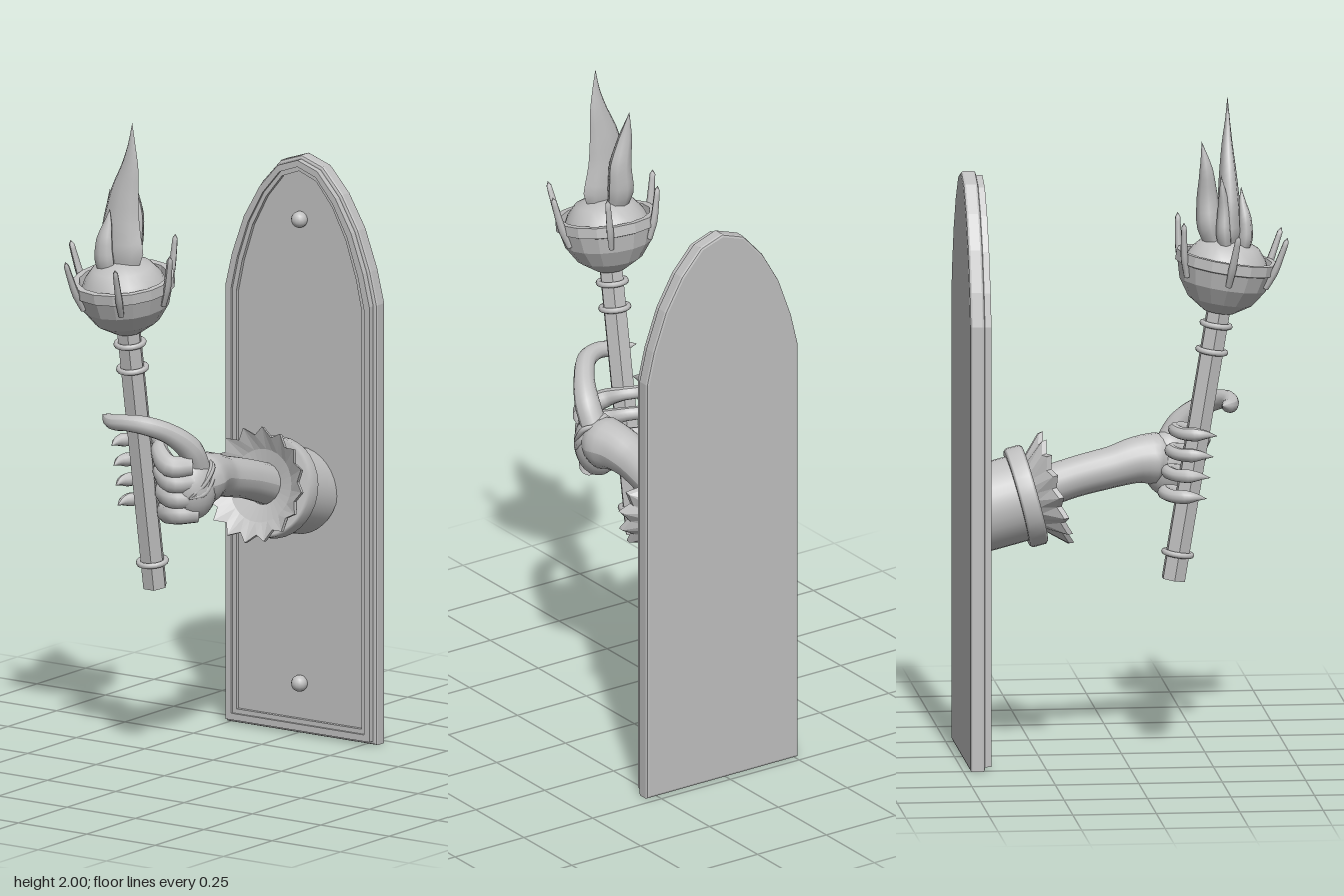
import * as THREE from 'three';

const stone = new THREE.MeshStandardMaterial({ color: 0xc0c0c0, side: THREE.DoubleSide });
stone.name = 'grey';

function add(parent, name, geo, x = 0, y = 0, z = 0) {
  const m = new THREE.Mesh(geo, stone);
  m.name = name;
  m.position.set(x, y, z);
  parent.add(m);
  return m;
}

// Faceted copy of a geometry
function flat(geo) {
  const g = geo.index ? geo.toNonIndexed() : geo;
  g.computeVertexNormals();
  return g;
}

const lathe = (pts, n) => new THREE.LatheGeometry(pts.map(p => new THREE.Vector2(p[0], p[1])), n);

// Tapered tube through points [x, y, z, radius]; depth flattens it along z
function limb(pts, sides = 10, steps = 24, depth = 1) {
  const curve = new THREE.CatmullRomCurve3(pts.map(p => new THREE.Vector3(p[0], p[1], p[2])));
  const geo = new THREE.TubeGeometry(curve, steps, 1, sides);
  const pos = geo.attributes.position, v = new THREE.Vector3();
  for (let i = 0; i <= steps; i++) {
    const c = curve.getPointAt(i / steps);
    const t = curve.getUtoTmapping(i / steps) * (pts.length - 1);
    const k = Math.min(Math.floor(t), pts.length - 2);
    const r = THREE.MathUtils.lerp(pts[k][3], pts[k + 1][3], t - k);
    for (let j = 0; j <= sides; j++) {
      const n = i * (sides + 1) + j;
      v.fromBufferAttribute(pos, n).sub(c).multiplyScalar(r);
      v.z *= depth;
      v.add(c);
      pos.setXYZ(n, v.x, v.y, v.z);
    }
  }
  geo.computeVertexNormals();
  return geo;
}

// Pointed-arch outline, shrunk by d
function archPoints(d) {
  const half = [[0.275, 0], [0.275, 1.35], [0.25, 1.45], [0.205, 1.57], [0.145, 1.67], [0.075, 1.745], [0, 1.77]];
  const kx = (0.275 - d) / 0.275, ky = (1.77 - 2 * d) / 1.77;
  const right = half.map(([x, y]) => new THREE.Vector2(x * kx, d + y * ky));
  const left = right.slice(0, -1).reverse().map(p => new THREE.Vector2(-p.x, p.y));
  return right.concat(left);
}

function archFrame(outer, inner, depth) {
  const s = new THREE.Shape(archPoints(outer));
  s.holes.push(new THREE.Path(archPoints(inner)));
  return new THREE.ExtrudeGeometry(s, { depth, bevelEnabled: false });
}

function buildPlaque() {
  const g = new THREE.Group();
  g.name = 'plaque';
  g.position.x = 0.013;
  add(g, 'backboard', new THREE.ExtrudeGeometry(new THREE.Shape(archPoints(0.008)),
    { depth: 0.029, bevelThickness: 0.008, bevelSize: 0.008, bevelSegments: 2 }), 0, 0, -0.472);
  add(g, 'outerMoulding', archFrame(0.012, 0.032, 0.021), 0, 0, -0.436);
  add(g, 'innerMoulding', archFrame(0.032, 0.046, 0.013), 0, 0, -0.436);
  for (const y of [0.155, 1.575]) add(g, 'rivet', new THREE.SphereGeometry(0.025, 14, 10), 0, y, -0.425);
  return g;
}

function buildCuff() {
  const g = new THREE.Group();
  g.name = 'cuff';
  g.position.set(0.013, 0.783, -0.285);
  g.rotation.x = 1.314;
  add(g, 'sleeve', new THREE.CylinderGeometry(0.13, 0.13, 0.17, 32), 0, -0.075, 0);
  add(g, 'cuffBand', lathe([[0.12, -0.028], [0.146, -0.028], [0.153, -0.02], [0.153, 0.02], [0.146, 0.028], [0, 0.028]], 32));
  // Jagged flared collar
  const n = 32;
  const profile = [[0.115, 0.025], [0.17, 0.085], [0.172, 0.1], [0.11, 0.06], [0.055, 0.045]];
  const geo = lathe(profile, n), pos = geo.attributes.position;
  for (let i = 0; i <= n; i++) {
    const k = i % 2 ? 0.87 : 1.02;
    for (const j of [1, 2]) {
      const v = i * profile.length + j;
      pos.setXYZ(v, pos.getX(v) * k, pos.getY(v) - (i % 2 ? 0.012 : 0), pos.getZ(v) * k);
    }
  }
  add(g, 'collarRuffle', flat(geo));
  return g;
}

function buildHand() {
  const g = new THREE.Group();
  g.name = 'armAndHand';
  add(g, 'forearm', limb([[0.013, 0.79, -0.28, 0.062], [0.013, 0.835, -0.15, 0.06], [0.013, 0.868, -0.02, 0.062],
    [0.022, 0.885, 0.05, 0.07], [0.032, 0.885, 0.11, 0.08], [0.03, 0.875, 0.16, 0.05]], 18, 24));
  const palm = add(g, 'palm', new THREE.SphereGeometry(1, 20, 14), 0.033, 0.87, 0.145);
  palm.scale.set(0.066, 0.1, 0.078);
  // Clawed fingers hooking behind the torch shaft
  for (let i = 0; i < 4; i++) {
    const y = 0.995 - i * 0.063, z = 0.145 + (y - 0.55) * 0.168, b = 0.945 - i * 0.05;
    add(g, 'finger', limb([[0.055, b, z - 0.03, 0.03], [0.012, b, z + 0.015, 0.034], [-0.045, y - 0.02, z - 0.01, 0.028],
      [-0.075, y, z - 0.052, 0.021], [-0.115, y + 0.004, z - 0.072, 0.02], [-0.16, y, z - 0.052, 0.019],
      [-0.182, y, z - 0.015, 0.021], [-0.186, y, z + 0.012, 0.014], [-0.18, y - 0.006, z + 0.05, 0]], 10, 36));
  }
  add(g, 'thumb', limb([[0.045, 0.92, 0.14, 0.04], [0.045, 0.99, 0.18, 0.038], [0.015, 1.045, 0.24, 0.031],
    [-0.035, 1.075, 0.295, 0.029], [-0.09, 1.08, 0.315, 0.025], [-0.14, 1.075, 0.312, 0.024],
    [-0.17, 1.078, 0.3, 0.019], [-0.205, 1.085, 0.28, 0]], 12, 32));
  // Raised tendons on the back of the hand
  for (const s of [0, 1]) {
    add(g, 'tendon', limb([[0.055, 0.95 - s * 0.03, 0.1, 0.004], [0.09, 0.935 - s * 0.03, 0.13, 0.009],
      [0.088, 0.89 - s * 0.03, 0.17, 0.009], [0.066, 0.85, 0.215, 0.003]], 8, 14));
  }
  return g;
}

function buildTorch() {
  const g = new THREE.Group();
  g.name = 'torch';
  g.position.set(-0.11, 0.55, 0.145);
  g.rotation.x = 0.165;
  const shaft = new THREE.CylinderGeometry(0.038, 0.038, 0.83, 6);
  shaft.rotateY(Math.PI / 6);
  add(g, 'shaft', flat(shaft), 0, 0.41, 0);
  for (const y of [0.075, 0.695, 0.775]) {
    const ring = new THREE.TorusGeometry(0.041, 0.009, 8, 18);
    ring.rotateX(Math.PI / 2);
    add(g, 'shaftRing', ring, 0, y, 0);
  }
  add(g, 'bowl', flat(lathe([[0, 0.81], [0.045, 0.815], [0.098, 0.85], [0.132, 0.9], [0.146, 0.95],
    [0.154, 0.953], [0.154, 0.985], [0.134, 0.985], [0.128, 0.95]], 16)));
  add(g, 'emberBed', lathe([[0.13, 0.955], [0.115, 0.99], [0.09, 1.02], [0.05, 1.037], [0, 1.042]], 24));
  // Prongs round the rim
  for (let i = 0; i < 6; i++) {
    const a = i * Math.PI / 3, c = Math.cos(a), s = Math.sin(a);
    add(g, 'prong', limb([[0.138 * c, 0.915, 0.138 * s, 0.009], [0.158 * c, 0.97, 0.158 * s, 0.012],
      [0.172 * c, 1.03, 0.172 * s, 0.01], [0.181 * c, 1.075, 0.181 * s, 0.008], [0.182 * c, 1.08, 0.182 * s, 0]], 6, 12));
  }
  return g;
}

function buildFlames() {
  const g = new THREE.Group();
  g.name = 'flames';
  add(g, 'mainFlame', limb([[-0.11, 1.53, 0.315, 0.045], [-0.108, 1.6, 0.312, 0.075], [-0.115, 1.67, 0.31, 0.07],
    [-0.105, 1.77, 0.308, 0.053], [-0.085, 1.86, 0.308, 0.032], [-0.077, 1.93, 0.31, 0.014], [-0.075, 2, 0.31, 0]], 8, 20, 0.5));
  add(g, 'backFlame', limb([[-0.12, 1.53, 0.275, 0.025], [-0.125, 1.62, 0.25, 0.042], [-0.12, 1.7, 0.245, 0.036],
    [-0.135, 1.79, 0.24, 0.022], [-0.14, 1.875, 0.226, 0]], 8, 16, 0.9));
  add(g, 'leftFlame', limb([[-0.15, 1.53, 0.3, 0.025], [-0.162, 1.6, 0.29, 0.034], [-0.16, 1.67, 0.29, 0.027],
    [-0.172, 1.73, 0.285, 0.014], [-0.178, 1.78, 0.28, 0]], 8, 16, 0.7));
  add(g, 'frontFlame', limb([[-0.135, 1.52, 0.34, 0.022], [-0.145, 1.58, 0.355, 0.034], [-0.145, 1.64, 0.355, 0.028],
    [-0.138, 1.69, 0.348, 0.015], [-0.132, 1.735, 0.345, 0]], 8, 16, 0.7));
  return g;
}

export function createModel() {
  const model = new THREE.Group();
  model.name = 'wallTorch';
  model.add(buildPlaque(), buildCuff(), buildHand(), buildTorch(), buildFlames());
  return model;
}
